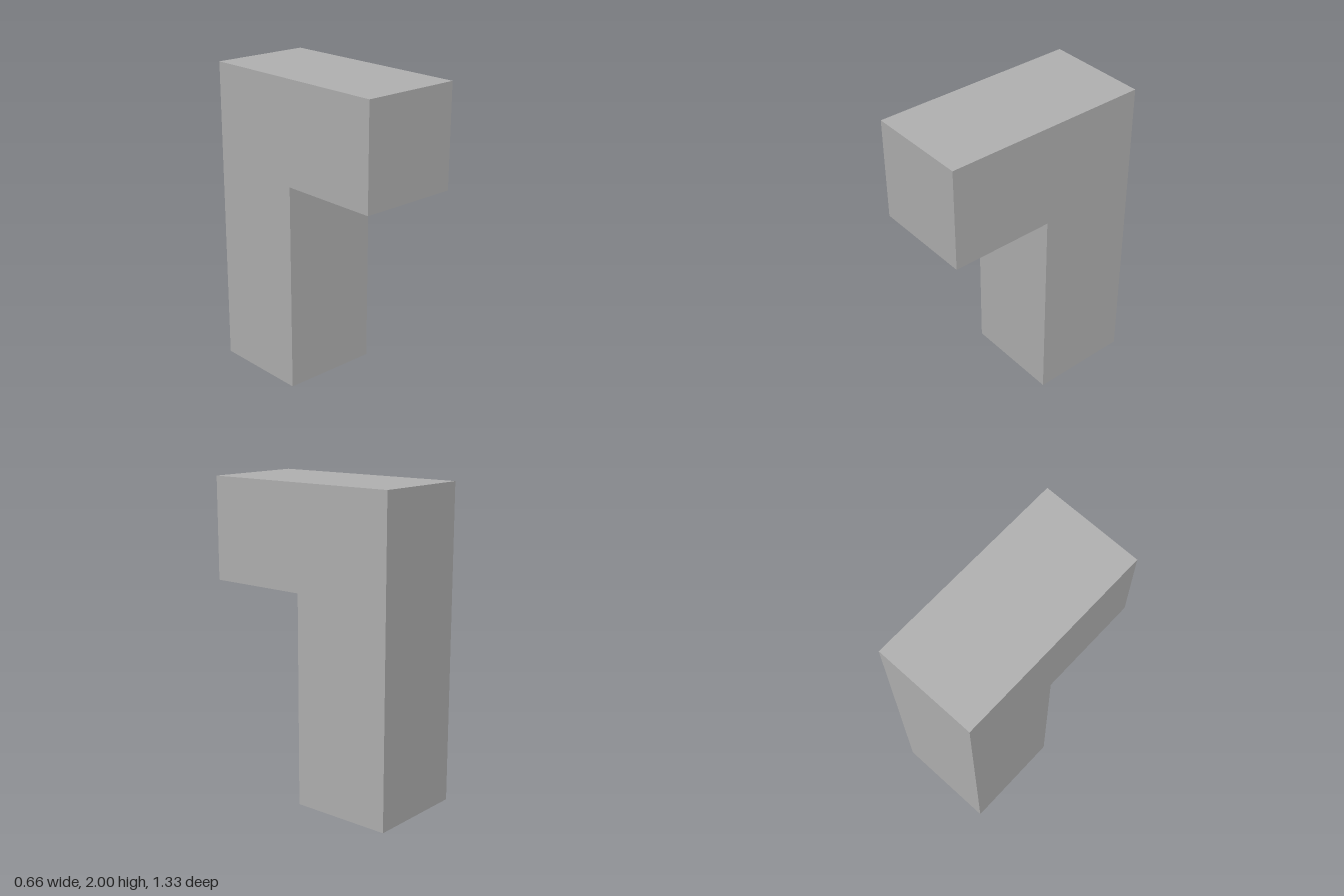
import * as THREE from 'three';

export function createModel() {
  const group = new THREE.Group();
  const grey = new THREE.MeshStandardMaterial({ color: 0xb2b2b2 });
  grey.name = 'grey';

  // Side profile as (z, y): a square post with an arm reaching forward at the top
  const width = 0.656, half = 0.663, inner = -0.005, armBottom = 1.345;
  const profile = new THREE.Shape([
    [-half, 0], [inner, 0], [inner, armBottom],
    [half, armBottom], [half, 2], [-half, 2],
  ].map(([z, y]) => new THREE.Vector2(z, y)));

  // Extrude across the width, then turn the profile to face +z
  const geometry = new THREE.ExtrudeGeometry(profile, { depth: width, bevelEnabled: false });
  geometry.translate(0, 0, -width / 2);
  geometry.rotateY(-Math.PI / 2);

  const block = new THREE.Mesh(geometry, grey);
  block.name = 'postWithArm';
  group.add(block);
  return group;
}
